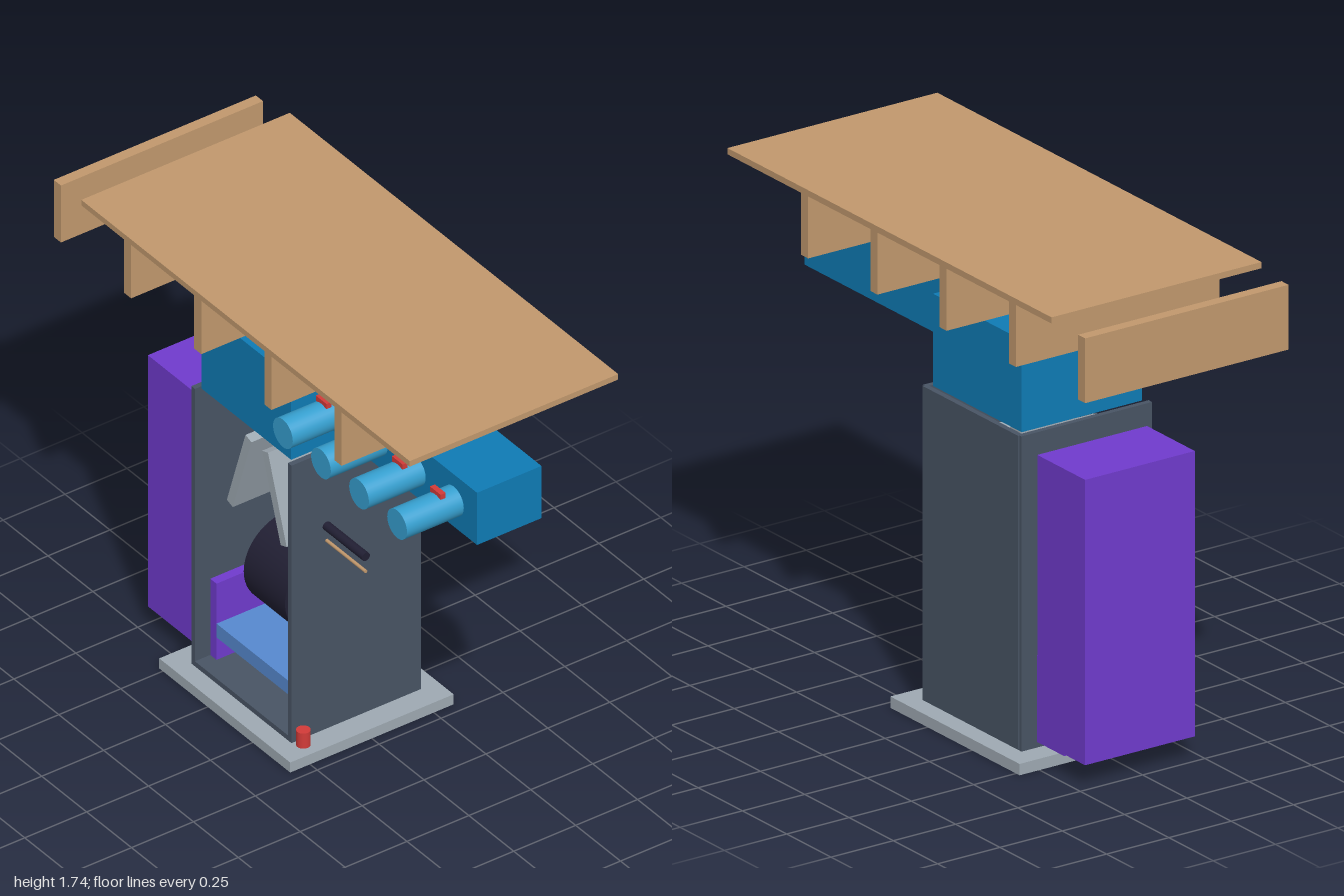
import * as THREE from 'three';

const mat = (name, color, side = THREE.FrontSide) => {
  const m = new THREE.MeshStandardMaterial({ color, side });
  m.name = name;
  return m;
};

export function createModel() {
  const group = new THREE.Group();
  const wood = mat('wood', 0xc1986d);
  const slate = mat('slate', 0x485464);
  const steel = mat('steel', 0x9ea9b2);
  const blue = mat('blue', 0x0f7bb5);
  const lightBlue = mat('lightBlue', 0x36a0d0);
  const trayBlue = mat('trayBlue', 0x5689cf);
  const purple = mat('purple', 0x703bcd);
  const red = mat('red', 0xd23b38);
  const black = mat('black', 0x211f33);

  const add = (name, geometry, material, x, y, z) => {
    const mesh = new THREE.Mesh(geometry, material);
    mesh.name = name;
    mesh.position.set(x, y, z);
    group.add(mesh);
    return mesh;
  };
  // box from its minimum and maximum along each axis
  const box = (name, material, x0, x1, y0, y1, z0, z1) =>
    add(name, new THREE.BoxGeometry(x1 - x0, y1 - y0, z1 - z0), material,
      (x0 + x1) / 2, (y0 + y1) / 2, (z0 + z1) / 2);
  // cylinder lying along the x axis
  const rodX = (name, material, r, x0, x1, y, z, sides = 24) =>
    add(name, new THREE.CylinderGeometry(r, r, x1 - x0, sides).rotateZ(Math.PI / 2),
      material, (x0 + x1) / 2, y, z);

  // base plate and stop button
  box('basePlate', steel, -0.52, 0.21, 0, 0.04, -0.33, 0.33);
  add('button', new THREE.CylinderGeometry(0.024, 0.024, 0.06, 24), red, 0.152, 0.07, 0.235);

  // cabinet, open at the front and top
  box('cabinetFloor', slate, -0.417, 0.103, 0.04, 0.06, -0.262, 0.262);
  box('cabinetRightWall', slate, -0.435, -0.415, 0.04, 1.15, -0.262, 0.262);
  box('cabinetLeftWall', slate, 0.103, 0.123, 0.04, 1.15, -0.262, 0.262);
  box('cabinetBack', slate, -0.425, 0.113, 0.045, 1.15, -0.268, -0.248);

  // parts inside the cabinet
  for (const side of [-1, 1]) {
    const guide = add('guidePlate', new THREE.BoxGeometry(0.035, 0.335, 0.4), steel,
      -0.156 + side * 0.098, 0.888, 0);
    guide.rotation.z = side * 0.315;
  }
  rodX('drum', black, 0.17, -0.27, -0.04, 0.465, 0, 48);
  box('tray', trayBlue, -0.38, 0.065, 0.15, 0.205, -0.2, 0.2);

  // side bin and the chute feeding it
  box('chute', purple, -0.59, -0.38, 0.06, 0.365, -0.2, 0.2);
  box('sideBin', purple, -0.735, -0.465, 0.08, 1.085, -0.22, 0.22);

  // rods through the side wall
  rodX('darkRod', black, 0.016, 0.04, 0.342, 0.852, 0.12);
  rodX('thinRod', wood, 0.006, 0.04, 0.342, 0.793, 0.12, 12);

  // hopper with manifold, nozzles and levers
  box('hopper', blue, -0.405, 0.095, 1.15, 1.475, -0.24, 0.243);
  box('manifold', blue, 0.09, 0.975, 1.265, 1.474, -0.13, 0.13);
  for (let i = 0; i < 4; i++) {
    const x = 0.21 + i * 0.212;
    add('nozzle', new THREE.CylinderGeometry(0.055, 0.055, 0.235, 32).rotateX(Math.PI / 2),
      lightBlue, x, 1.37, 0.242);
    box('lever', red, x - 0.03, x + 0.03, 1.42, 1.44, 0.185, 0.205);
  }

  // table top and its ribs
  box('tableTop', wood, -0.83, 1, 1.713, 1.735, -0.422, 0.42);
  for (let i = 0; i < 5; i++) {
    const x = -0.98 + i * 0.391;
    box('rib', wood, x - 0.02, x + 0.02, 1.485, 1.713, -0.408, 0.408);
  }
  return group;
}
